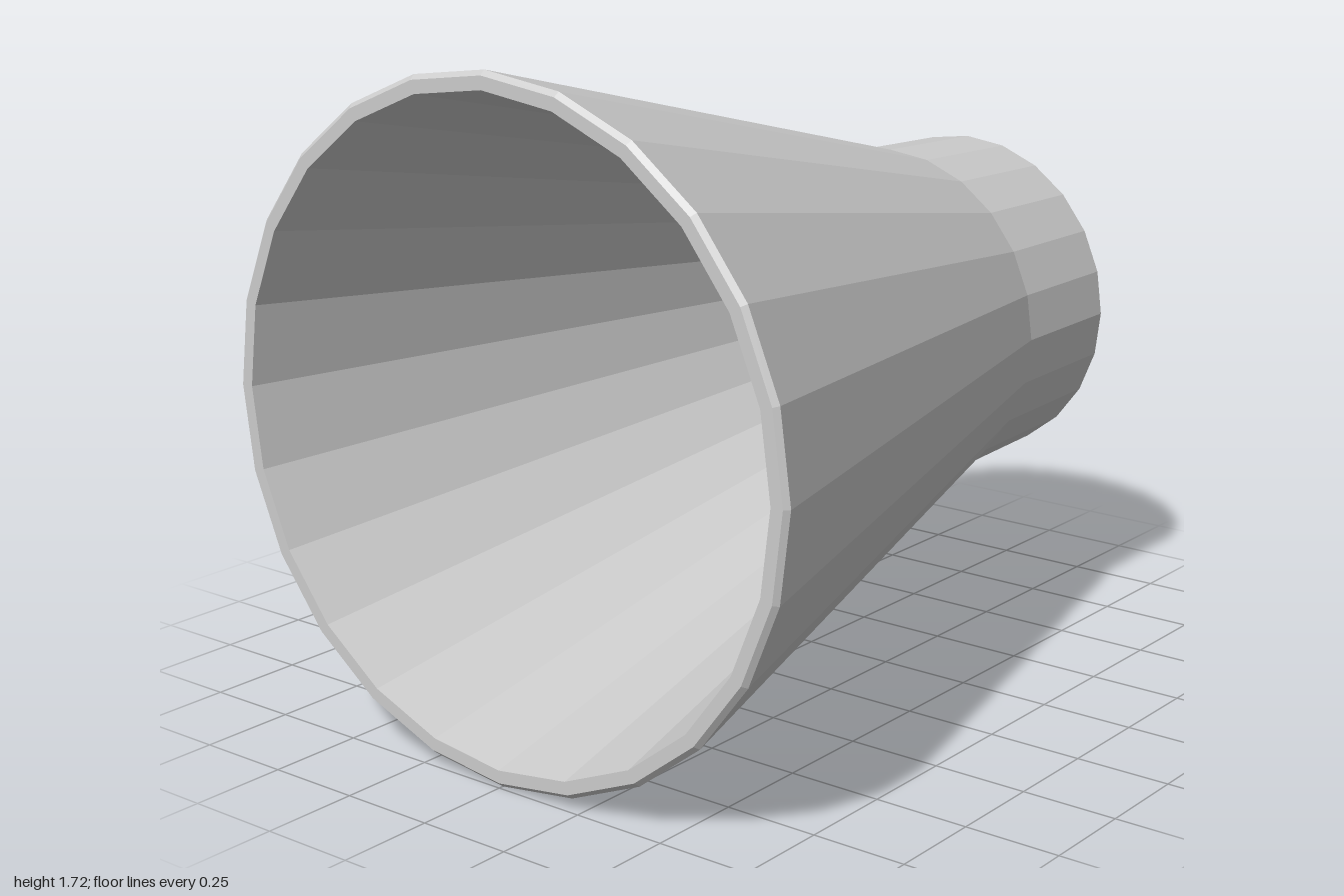
import * as THREE from 'three';

const SIDES = 24;
const CENTRE_Y = 0.86;

// Turns a [radius, z] profile around the z axis.
function turned(name, profile, material) {
  const points = profile.map(([r, z]) => new THREE.Vector2(r, z));
  const geometry = new THREE.LatheGeometry(points, SIDES);
  geometry.rotateX(Math.PI / 2);
  const mesh = new THREE.Mesh(geometry, material);
  mesh.name = name;
  mesh.position.y = CENTRE_Y;
  return mesh;
}

export function createModel() {
  const group = new THREE.Group();
  group.name = 'flaredCone';
  const material = new THREE.MeshStandardMaterial({ color: 0xcccccc, flatShading: true });

  // Thin-walled cone: back lip, neck, flare, chamfered front rim, inner wall.
  group.add(turned('coneShell', [
    [0.43, -1], [0.445, -1], [0.455, -0.985], [0.467, -0.6],
    [0.86, 0.987], [0.848, 1], [0.815, 1],
    [0.447, -0.6], [0.43, -0.98],
  ], material));

  // Shallow dished plate closing the narrow end.
  group.add(turned('endPlate', [
    [0, -0.95], [0.43, -1], [0.43, -0.98], [0, -0.93],
  ], material));

  return group;
}
